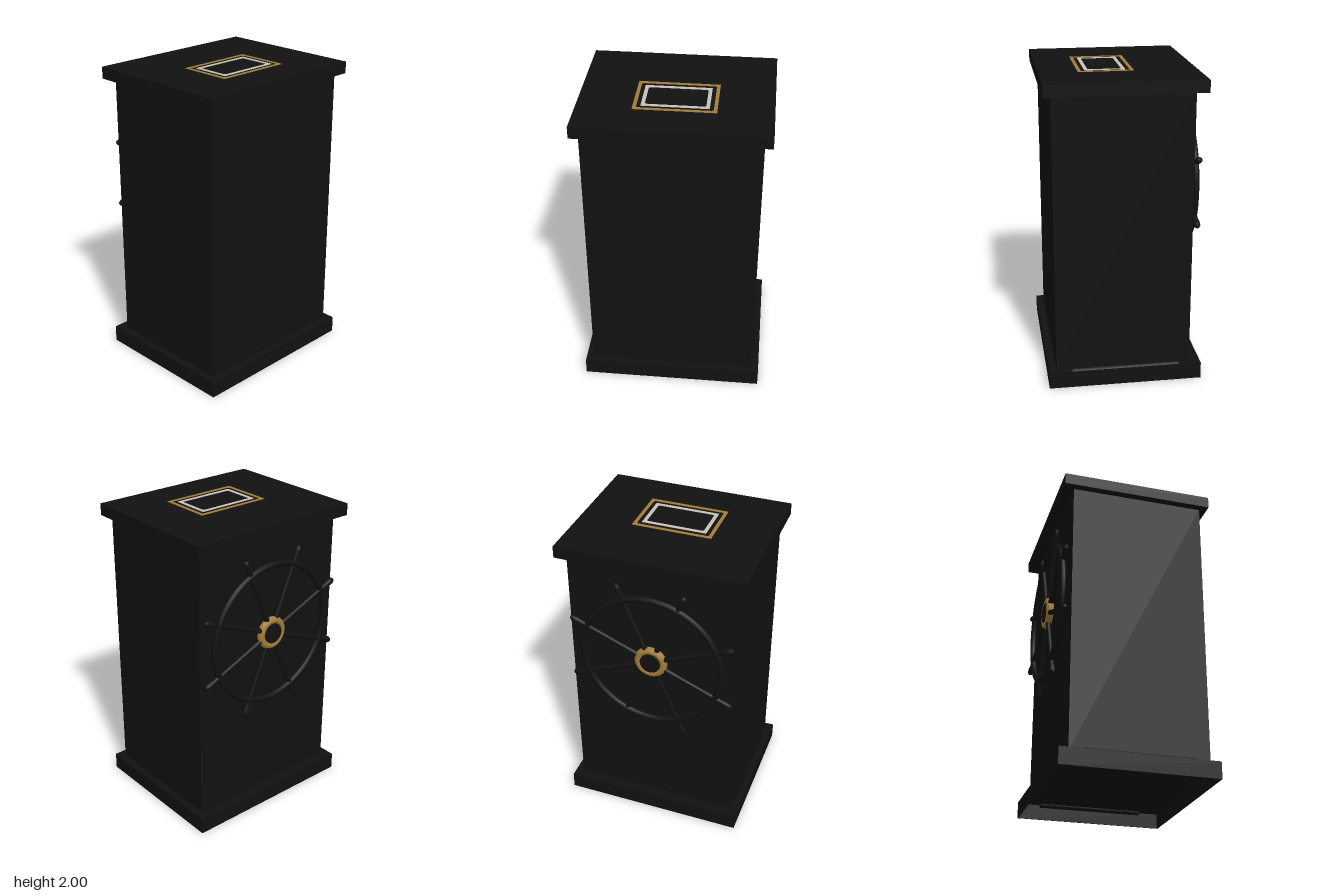
import * as THREE from 'three';

export function createModel() {
  const model = new THREE.Group();
  model.name = 'lectern';

  const mat = (name, color, side = THREE.FrontSide) => {
    const m = new THREE.MeshStandardMaterial({ color, side });
    m.name = name;
    return m;
  };
  const black = mat('black', 0x111111);
  const gold = mat('gold', 0xa07c38);
  const ivory = mat('ivory', 0xc8c2b6);

  const add = (name, geometry, material, x = 0, y = 0, z = 0, parent = model) => {
    const mesh = new THREE.Mesh(geometry, material);
    mesh.name = name;
    mesh.position.set(x, y, z);
    parent.add(mesh);
    return mesh;
  };
  const box = (name, w, h, d, x, y, z) => add(name, new THREE.BoxGeometry(w, h, d), black, x, y, z);

  // Cabinet and overhanging top
  box('body', 1.1, 1.82, 0.88, 0, 1.015, 0.01);
  box('topSlab', 1.2, 0.077, 1, 0, 1.9585, 0);

  // Plinth: a thin skirt, open underneath, closed by a ledge
  box('plinthLedge', 1.2, 0.01, 1, 0, 0.105, 0);
  for (const s of [-1, 1]) {
    box('plinthLongSide', 1.2, 0.1, 0.006, 0, 0.05, s * 0.497);
    box('plinthShortSide', 0.006, 0.1, 0.988, s * 0.597, 0.05, 0);

    // Rounded rail lying on each side ledge
    const rail = new THREE.CylinderGeometry(0.022, 0.022, 0.7, 12).rotateX(Math.PI / 2);
    add('sideRail', rail, black, s * 0.575, 0.1, 0);
  }

  // Inlaid frames on the top, with clipped inner corners
  const frame = (name, halfW, halfD, t, z, material) => {
    const shape = new THREE.Shape();
    shape.moveTo(-halfW, -halfD);
    shape.lineTo(halfW, -halfD);
    shape.lineTo(halfW, halfD);
    shape.lineTo(-halfW, halfD);
    shape.closePath();
    const w = halfW - t, d = halfD - t, c = 0.008;
    const hole = new THREE.Path();
    hole.setFromPoints([
      [-w + c, -d], [-w, -d + c], [-w, d - c], [-w + c, d],
      [w - c, d], [w, d - c], [w, -d + c], [w - c, -d],
    ].map(([x, y]) => new THREE.Vector2(x, y)));
    hole.closePath();
    shape.holes.push(hole);
    const geometry = new THREE.ExtrudeGeometry(shape, { depth: 0.003, bevelEnabled: false });
    add(name, geometry.rotateX(-Math.PI / 2), material, 0, 1.997, z);
  };
  frame('outerFrame', 0.256, 0.176, 0.022, 0.0785, gold);
  frame('innerFrame', 0.209, 0.129, 0.023, 0.08, ivory);

  // Ship's wheel on the back
  const wheel = new THREE.Group();
  wheel.name = 'wheel';
  wheel.position.set(0, 1.265, -0.465);
  model.add(wheel);

  add('rim', new THREE.TorusGeometry(0.46, 0.021, 12, 64), black, 0, 0, 0, wheel);
  add('hubRing', new THREE.TorusGeometry(0.084, 0.025, 12, 40), gold, 0, 0, 0, wheel);
  const hub = new THREE.CylinderGeometry(0.066, 0.066, 0.052, 32).rotateX(Math.PI / 2);
  add('hub', hub, black, 0, 0, 0, wheel);

  // Turned spokes ending in handles beyond the rim
  const profile = [
    [0.018, 0.05], [0.018, 0.12], [0.015, 0.2], [0.015, 0.42], [0.018, 0.48],
    [0.016, 0.5], [0.021, 0.54], [0.02, 0.565], [0.012, 0.578], [0, 0.58],
  ].map(([r, y]) => new THREE.Vector2(r, y));
  const spoke = new THREE.LatheGeometry(profile, 14);
  for (let i = 0; i < 8; i++) {
    add('spoke', spoke, black, 0, 0, 0, wheel).rotation.z = (i + 0.5) * Math.PI / 4;
  }

  return model;
}
